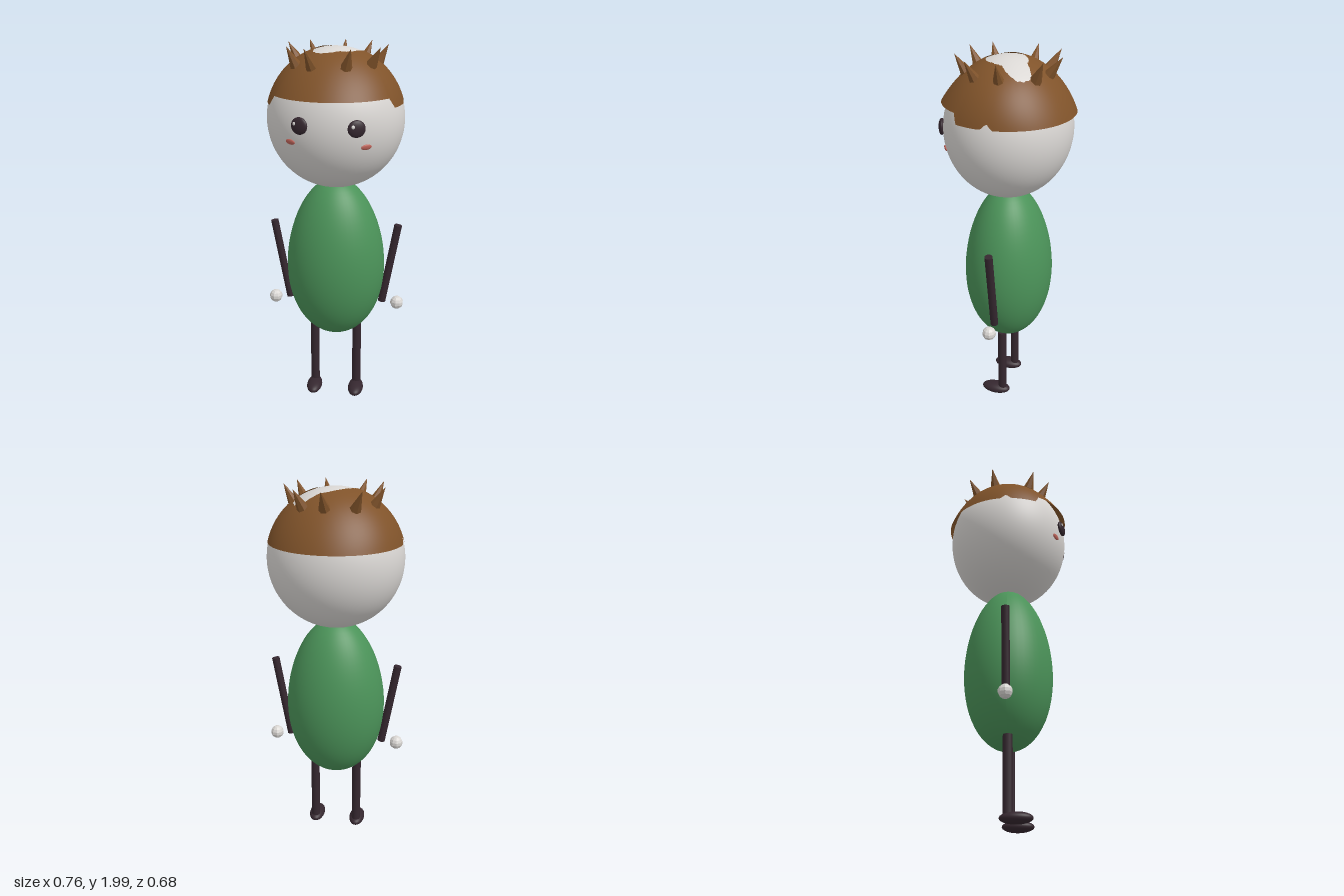
import * as THREE from 'three';

const mat = (name, color, extra = {}) => {
  const m = new THREE.MeshStandardMaterial({ color, ...extra });
  m.name = name;
  return m;
};

// Head ellipsoid, shared by hair and face
const C = new THREE.Vector3(0, 1.625, 0.003);
const R = new THREE.Vector3(0.355, 0.36, 0.328);

// Outline of the bald spot as x, z pairs
const SPOT = [
  [-0.104, 0.067], [-0.09, 0], [-0.06, -0.04], [-0.02, -0.077], [0.02, -0.1], [0.06, -0.106],
  [0.09, -0.126], [0.143, -0.149], [0.177, -0.126], [0.193, -0.096], [0.177, -0.05], [0.132, -0.006],
  [0.108, 0.05], [0.08, 0.09], [0.03, 0.106], [-0.04, 0.124], [-0.07, 0.116], [-0.098, 0.09],
];
const SPOT_X = 0.04, SPOT_Z = -0.01;
const POLAR = SPOT.map(([x, z]) => [Math.atan2(x - SPOT_X, z - SPOT_Z), Math.hypot(x - SPOT_X, z - SPOT_Z)])
  .sort((p, q) => p[0] - q[0]);

// Radius of the bald spot at an azimuth
function spotRadius(a) {
  const n = POLAR.length, T = Math.PI * 2;
  const list = [[POLAR[n - 1][0] - T, POLAR[n - 1][1]], ...POLAR, [POLAR[0][0] + T, POLAR[0][1]]];
  const k = list.findIndex((p) => p[0] > a);
  const [p, q] = [list[k - 1], list[k]];
  return THREE.MathUtils.lerp(p[1], q[1], (a - p[0]) / (q[0] - p[0])) + 0.002 * Math.sin(a * 37);
}

// Height of the hair edge: raised fringe, lower sides and back, notch by each ear
function hemHeight(a) {
  const z = Math.cos(a);
  const fringe = THREE.MathUtils.smoothstep(z, 0.5, 0.58);
  const notch = Math.max(0, 1 - Math.abs(z - 0.01) / 0.09);
  return 1.715 + 0.047 * fringe + 0.03 * notch;
}

// Hair shell lofted from the bald spot down to the edge
function hairGeometry(cols = 144, rows = 16) {
  const pos = [], index = [];
  for (let i = 0; i <= rows; i++) {
    const t = i / rows;
    for (let j = 0; j < cols; j++) {
      const a = -Math.PI + (j / cols) * Math.PI * 2;
      const r = spotRadius(a);
      const sx = (SPOT_X + r * Math.sin(a)) / R.x, sz = (SPOT_Z + r * Math.cos(a) - C.z) / R.z;
      const inner = new THREE.Vector3(sx, Math.sqrt(1 - sx * sx - sz * sz), sz);
      const hy = (hemHeight(a) - C.y) / R.y, hr = Math.sqrt(1 - hy * hy);
      const u = inner.lerp(new THREE.Vector3(hr * Math.sin(a), hy, hr * Math.cos(a)), t).normalize();
      const s = 1.008 + Math.pow(t, 1.4) * u.z * u.z * (u.z > 0 ? 0.115 : 0.07);
      pos.push(C.x + u.x * R.x * s, C.y + u.y * R.y + 0.004 * (1 - t), C.z + u.z * R.z * s);
    }
  }
  for (let i = 0; i < rows; i++) for (let j = 0; j < cols; j++) {
    const k = (j + 1) % cols;
    const A = i * cols + j, B = A + cols, D = i * cols + k, E = D + cols;
    index.push(A, B, E, A, E, D);
  }
  const g = new THREE.BufferGeometry();
  g.setAttribute('position', new THREE.Float32BufferAttribute(pos, 3));
  g.setIndex(index);
  g.computeVertexNormals();
  return g;
}

export function createModel() {
  const skin = mat('pale skin', 0xdad7d4);
  const handSkin = mat('pale hands', 0xdad7d4, { flatShading: true });
  const green = mat('green body', 0x4b9359);
  const dark = mat('dark limbs', 0x35272f);
  const brown = mat('brown hair', 0x80532a, { side: THREE.DoubleSide });
  const spikeBrown = mat('brown spikes', 0x80532a, { flatShading: true });
  const blush = mat('blush', 0xc0655b);

  const model = new THREE.Group();
  model.name = 'character';
  const add = (name, geo, material, x = 0, y = 0, z = 0) => {
    const m = new THREE.Mesh(geo, material);
    m.name = name;
    m.position.set(x, y, z);
    model.add(m);
    return m;
  };
  const ellipsoid = (x, y, z, w = 32, h = 20) => new THREE.SphereGeometry(1, w, h).scale(x, y, z);

  // Egg-shaped body, narrower at the top
  const egg = new THREE.SphereGeometry(1, 48, 32);
  const p = egg.attributes.position;
  for (let i = 0; i < p.count; i++) {
    const y = p.getY(i), k = 1 - 0.1 * y;
    p.setXYZ(i, p.getX(i) * 0.268 * k, y * 0.457, p.getZ(i) * 0.237 * k);
  }
  egg.computeVertexNormals();
  add('body', egg, green, 0, 0.847, 0.003);

  // Head and hair
  add('head', ellipsoid(R.x, R.y, R.z, 64, 40), skin, C.x, C.y, C.z);
  add('hair', hairGeometry(), brown);

  // Spikes around the crown: base x, z then tip x, z
  const up = new THREE.Vector3(0, 1, 0);
  [
    [0.015, -0.2, 0.02, -0.269], [-0.126, -0.167, -0.167, -0.218], [-0.2, -0.062, -0.255, -0.077],
    [-0.181, 0.128, -0.22, 0.161], [-0.092, 0.194, -0.12, 0.25], [0.073, 0.198, 0.1, 0.246],
    [0.183, 0.112, 0.232, 0.147], [0.208, -0.014, 0.261, -0.016], [0.128, -0.167, 0.165, -0.212],
  ].forEach(([bx, bz, tx, tz]) => {
    const base = new THREE.Vector3(bx, 1.9, bz), tip = new THREE.Vector3(tx, 1.995, tz);
    const dir = tip.clone().sub(base);
    const len = dir.length();
    const cone = new THREE.ConeGeometry(0.031, len, 7).translate(0, len / 2, 0);
    add('hairSpike', cone, spikeBrown, bx, 1.9, bz).quaternion.setFromUnitVectors(up, dir.normalize());
  });

  // Place a flattened feature on the face, facing outward
  const onFace = (name, geo, material, x, y, lift) => {
    const ux = x / R.x, uy = (y - C.y) / R.y;
    const uz = Math.sqrt(1 - ux * ux - uy * uy);
    const n = new THREE.Vector3(ux / R.x, uy / R.y, uz / R.z).normalize();
    const m = add(name, geo, material, x + n.x * lift, y + n.y * lift, C.z + uz * R.z + n.z * lift);
    m.quaternion.setFromUnitVectors(new THREE.Vector3(0, 0, 1), n);
  };
  for (const [x, y] of [[-0.135, 1.645], [0.135, 1.638]]) {
    onFace('eye', ellipsoid(0.044, 0.042, 0.016), dark, x, y, 0.006);
    onFace('eyeHighlight', ellipsoid(0.009, 0.009, 0.005, 12, 8), skin, x - 0.018, y + 0.01, 0.019);
  }
  onFace('cheek', ellipsoid(0.028, 0.014, 0.006), blush, -0.187, 1.559, 0.002);
  onFace('cheek', ellipsoid(0.028, 0.014, 0.006), blush, 0.181, 1.544, 0.002);

  // Arms, hands, legs and feet, mirrored
  for (const s of [-1, 1]) {
    const arm = add('arm', new THREE.CylinderGeometry(0.021, 0.021, 0.465, 12), dark, s * 0.3, 0.82, 0.004);
    arm.rotation.z = -s * 0.17;
    add('hand', new THREE.SphereGeometry(0.037, 9, 7), handSkin, s * 0.346, 0.585, 0.005);
    add('leg', new THREE.CylinderGeometry(0.025, 0.025, 0.41, 12), dark, s * 0.122, 0.235, 0.005);
    add('foot', ellipsoid(0.044, 0.03, 0.083), dark, s * 0.122, 0.031, 0.045);
  }
  return model;
}
